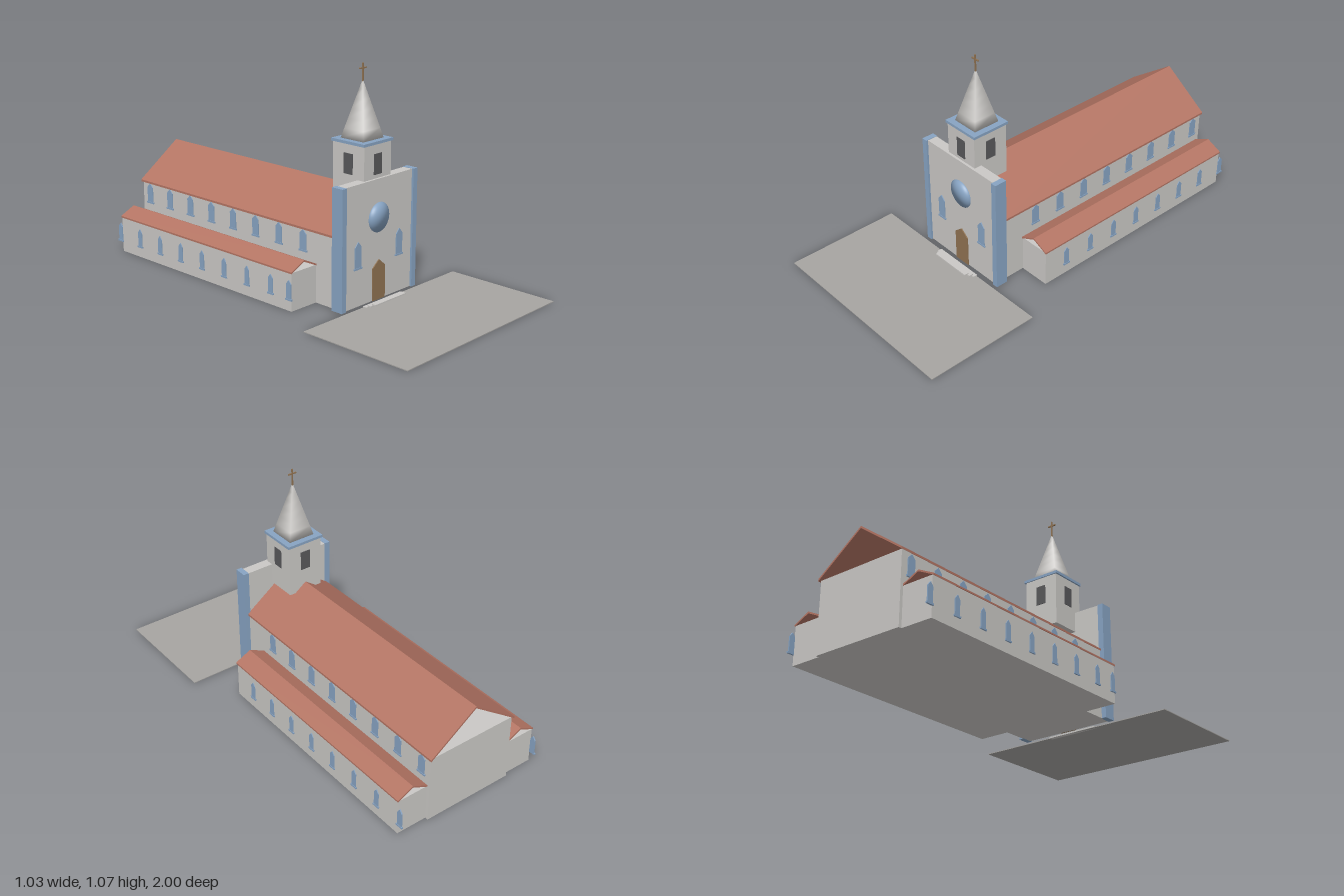
import * as THREE from 'three';
import { mergeVertices } from 'three/addons/utils/BufferGeometryUtils.js';

const mat = (name, color, extra = {}) => Object.assign(new THREE.MeshStandardMaterial({ color, ...extra }), { name });

export function createModel() {
  const root = new THREE.Group();
  root.name = 'church';
  const wall = mat('wall grey', 0xcac8c5);
  const blue = mat('trim blue', 0x87a3c2);
  const tile = mat('roof tile', 0xb47564);
  const wood = mat('wood brown', 0x8f7252);
  const dark = mat('opening dark', 0x58585a);
  const paving = mat('paving grey', 0xa6a4a1);

  const add = (name, geo, material, parent = root) => {
    const m = new THREE.Mesh(geo, material);
    m.name = name;
    parent.add(m);
    return m;
  };
  // Box given by its limits on each axis
  const box = (name, material, [x0, x1], [y0, y1], [z0, z1], parent = root) => {
    const m = add(name, new THREE.BoxGeometry(x1 - x0, y1 - y0, z1 - z0), material, parent);
    m.position.set((x0 + x1) / 2, (y0 + y1) / 2, (z0 + z1) / 2);
    return m;
  };
  const extrude = (points, depth) => new THREE.ExtrudeGeometry(
    new THREE.Shape(points.map(p => new THREE.Vector2(...p))), { depth, bevelEnabled: false });

  // Pointed panel standing on y = 0, facing +z
  const pointed = (halfW, shoulder, top, depth) =>
    extrude([[-halfW, 0], [halfW, 0], [halfW, shoulder], [0, top], [-halfW, shoulder]], depth);

  // Pointed window with sill
  const windowAt = (x, y, z, turn, halfW, height) => {
    const g = new THREE.Group();
    g.name = 'window';
    add('windowPane', pointed(halfW, height * 0.8, height, 0.006), blue, g);
    box('windowSill', blue, [-halfW - 0.005, halfW + 0.005], [-0.004, 0.004], [0, 0.008], g);
    g.position.set(x, y, z);
    g.rotation.y = turn;
    root.add(g);
  };

  // Open gable roof made of two thin slopes
  const roof = (name, cx, halfW, eave, ridge, z0, z1, t) => {
    const m = add(name, extrude([[-halfW, eave], [-halfW, eave - t], [0, ridge - t], [halfW, eave - t],
      [halfW, eave], [0, ridge]], z1 - z0), tile);
    m.position.set(cx, 0, z0);
  };

  // Nave
  box('nave', wall, [-0.23, 0.23], [0, 0.335], [-0.98, 0.36]);
  roof('naveRoof', 0, 0.237, 0.341, 0.51, -0.99, 0.355, 0.01);

  // Side aisles with their windows, and the upper nave windows
  for (const s of [-1, 1]) {
    const xs = [0.22 * s, 0.385 * s].sort((a, b) => a - b);
    box('aisle', wall, xs, [0, 0.18], [-0.965, 0.23]);
    roof('aisleRoof', 0.31 * s, 0.08, 0.186, 0.224, -0.967, 0.235, 0.008);
    for (let i = 0; i < 8; i++) {
      windowAt(0.228 * s, 0.23, 0.152 - i * 0.154, s * Math.PI / 2, 0.02, 0.1);
      windowAt(0.383 * s, 0.054, 0.1 - i * 0.154, s * Math.PI / 2, 0.014, 0.092);
    }
  }
  windowAt(-0.383, 0.054, 0.215, -Math.PI / 2, 0.014, 0.092);

  // Front wall with corner pillars
  box('facade', wall, [-0.226, 0.226], [0, 0.567], [0.35, 0.4]);
  for (const s of [-1, 1]) {
    const xs = [0.225 * s, 0.253 * s].sort((a, b) => a - b);
    box('cornerPillar', blue, xs, [0, 0.569], [0.348, 0.41]);
    windowAt(0.14 * s, 0.18, 0.398, 0, 0.021, 0.125);
  }
  add('door', pointed(0.042, 0.155, 0.19, 0.007), wood).position.z = 0.398;

  // Round window: a shallow disc keeping its dome shading
  const rose = new THREE.SphereGeometry(0.07, 32, 20);
  const rp = rose.attributes.position;
  for (let i = 0; i < rp.count; i++) rp.setZ(i, rp.getZ(i) * 0.12);
  add('roundWindow', rose, blue).position.set(0, 0.388, 0.4);

  // Bell tower
  const tz = 0.295;
  box('tower', wall, [-0.09, 0.09], [0.467, 0.724], [tz - 0.093, tz + 0.093]);
  box('towerCornice', blue, [-0.098, 0.098], [0.723, 0.736], [tz - 0.098, tz + 0.098]);
  for (let i = 0; i < 4; i++) {
    const g = new THREE.Group();
    g.name = 'belfryOpening';
    const d = i % 2 ? 0.09 : 0.093;
    box('belfryPanel', dark, [-0.026, 0.026], [0.585, 0.68], [d - 0.003, d + 0.003], g);
    g.position.z = tz;
    g.rotation.y = i * Math.PI / 2;
    root.add(g);
  }

  // Four-sided spire with smooth shading over its edges
  let spire = new THREE.ConeGeometry(0.096, 0.265, 4, 6).rotateY(Math.PI / 4);
  spire.deleteAttribute('normal');
  spire.deleteAttribute('uv');
  spire = mergeVertices(spire, 1e-4);
  spire.computeVertexNormals();
  add('spire', spire, wall).position.set(0, 0.868, tz);

  // Cross
  box('crossPost', wood, [-0.003, 0.003], [0.99, 1.072], [tz - 0.003, tz + 0.003]);
  box('crossArm', wood, [-0.022, 0.022], [1.046, 1.052], [tz - 0.003, tz + 0.003]);

  // Forecourt and its low steps
  box('forecourt', paving, [-0.515, 0.515], [0, 0.004], [0.43, 1]);
  [[0.13, 0.425, 0.447], [0.118, 0.44, 0.462], [0.105, 0.455, 0.478]].forEach(([w, z0, z1], i) =>
    box('step', wall, [-w, w], [i * 0.0065, (i + 1) * 0.0065], [z0, z1]));

  return root;
}
